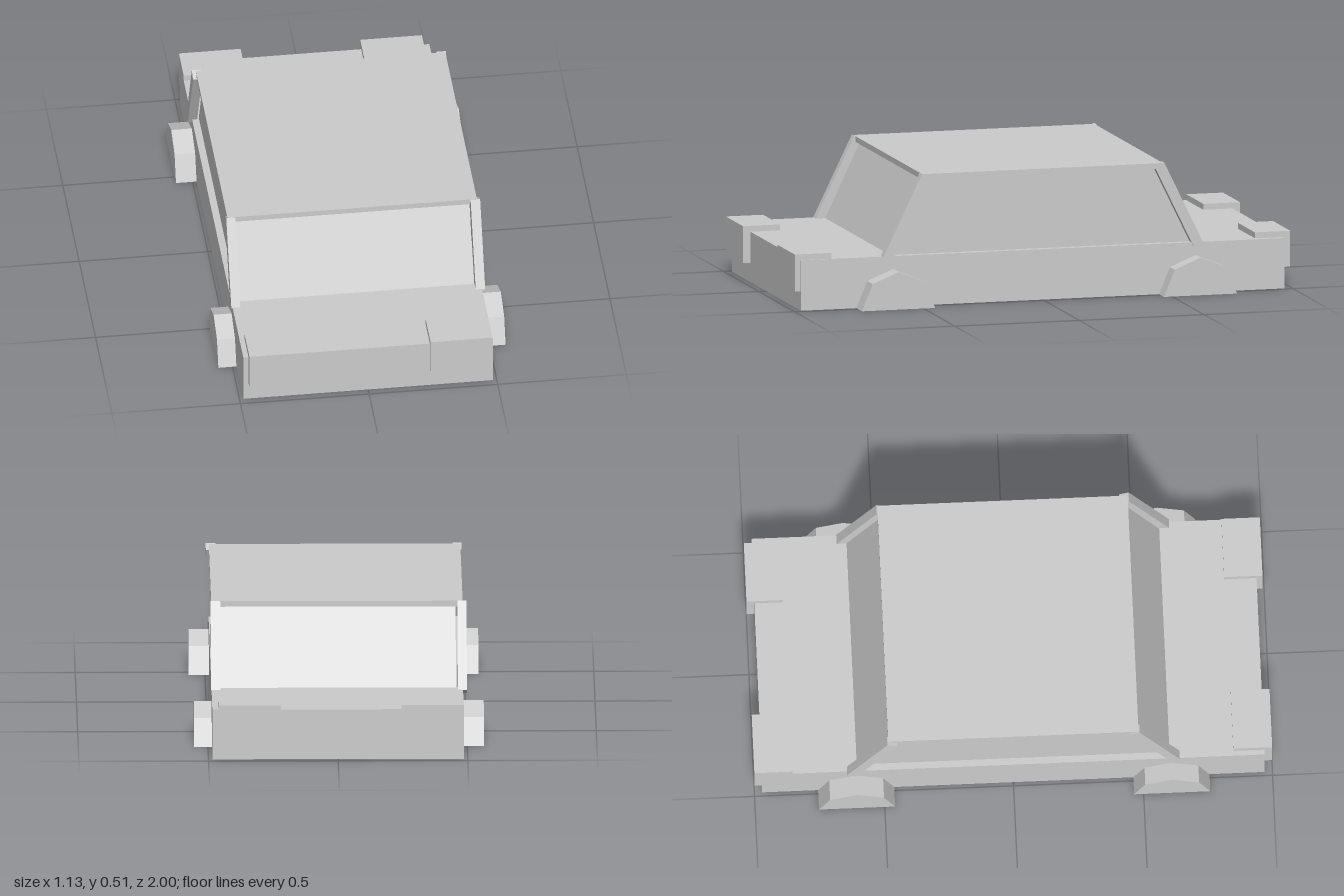
import * as THREE from 'three';

export function createModel() {
  const car = new THREE.Group();
  car.name = 'car';
  const material = new THREE.MeshStandardMaterial({ color: 0xcccccc, flatShading: true });

  const add = (name, geometry) => {
    const mesh = new THREE.Mesh(geometry, material);
    mesh.name = name;
    car.add(mesh);
    return mesh;
  };

  // Box given by its minimum and maximum corners
  const box = (name, [x0, y0, z0], [x1, y1, z1]) =>
    add(name, new THREE.BoxGeometry(x1 - x0, y1 - y0, z1 - z0))
      .position.set((x0 + x1) / 2, (y0 + y1) / 2, (z0 + z1) / 2);

  // Side profile of [z, y] points, swept across the car from x0 to x1
  const sweep = (name, points, x0, x1) => {
    const shape = new THREE.Shape(points.map(([z, y]) => new THREE.Vector2(-z, y)));
    const geometry = new THREE.ExtrudeGeometry(shape, { depth: x1 - x0, bevelEnabled: false });
    geometry.rotateY(Math.PI / 2).translate(x0, 0, 0);
    return add(name, geometry);
  };

  // Lower body, recessed glasshouse and roof panel
  box('body', [-0.485, 0, -0.97], [0.485, 0.197, 0.97]);
  sweep('cabinWindows', [[0.607, 0.19], [0.462, 0.495], [-0.462, 0.495], [-0.607, 0.19]], -0.458, 0.458);
  box('roof', [-0.485, 0.49, -0.483], [0.485, 0.512, 0.483]);

  // Sloping pillars at the cabin corners: [end of car, x0, x1]
  const pillars = [
    [1, -0.49, -0.455], [1, 0.46, 0.497],
    [-1, -0.5, -0.465], [-1, 0.45, 0.487],
  ];
  for (const [end, x0, x1] of pillars) {
    const profile = [[0.643, 0.195], [0.487, 0.514], [0.45, 0.496], [0.607, 0.176]];
    sweep(end > 0 ? 'frontPillar' : 'rearPillar', profile.map(([z, y]) => [end * z, y]), x0, x1);
  }

  // Block lamps: [x0, z0, z1, y0], each 0.24 wide
  const lamps = [
    ['headlamp', -0.465, 0.85, 1, 0.075], ['headlamp', 0.24, 0.845, 0.993, 0.075],
    ['tailLamp', -0.485, -1, -0.853, 0.08], ['tailLamp', 0.22, -1, -0.858, 0.08],
  ];
  for (const [name, x, z0, z1, y0] of lamps) box(name, [x, y0, z0], [x + 0.24, 0.22, z1]);

  // Upper halves of eight-sided wheels: [x0, x1, centre z]
  const wheels = [
    ['frontWheel', -0.555, -0.41, 0.61], ['frontWheel', 0.41, 0.563, 0.6],
    ['rearWheel', -0.565, -0.42, -0.607], ['rearWheel', 0.41, 0.553, -0.614],
  ];
  for (const [name, x0, x1, z] of wheels) {
    const arc = [0, 1, 2, 3, 4].map((i) => {
      const a = (i * Math.PI) / 4;
      return [z + 0.147 * Math.cos(a), 0.147 * Math.sin(a)];
    });
    sweep(name, arc, x0, x1);
  }

  return car;
}
